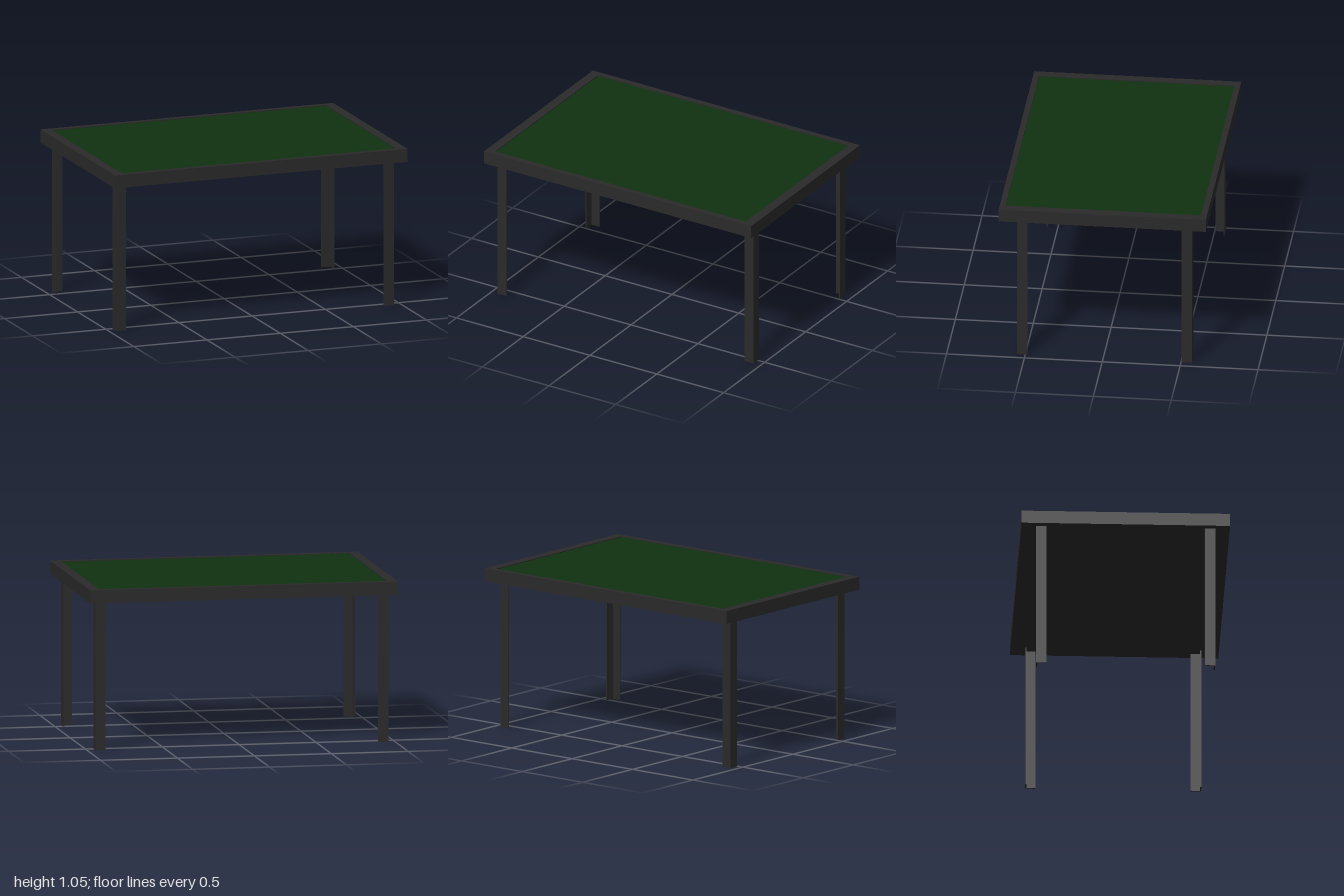
import * as THREE from 'three';

const dark = new THREE.MeshStandardMaterial({ color: 0x2a2a2a });
const green = new THREE.MeshStandardMaterial({ color: 0x103010 });

const HALF_X = 1, HALF_Z = 0.665;
const BOTTOM = 0.962, TOP = 1.047;

function rectangle(path, hx, hy) {
  path.moveTo(-hx, -hy);
  path.lineTo(hx, -hy);
  path.lineTo(hx, hy);
  path.lineTo(-hx, hy);
  path.closePath();
  return path;
}

function box(name, w, h, d, y, material) {
  const mesh = new THREE.Mesh(new THREE.BoxGeometry(w, h, d), material);
  mesh.name = name;
  mesh.position.y = y;
  return mesh;
}

// Angle-section leg with its outer corner at (x, z), flanges pointing inward
function angleLeg(name, x, z) {
  const width = 0.067, t = 0.008;
  const sx = -Math.sign(x), sz = -Math.sign(z);
  const points = [[0, 0], [width, 0], [width, t], [t, t], [t, width], [0, width]]
    .map(([a, b]) => new THREE.Vector2(x + sx * a, -(z + sz * b)));
  const geometry = new THREE.ExtrudeGeometry(new THREE.Shape(points), { depth: BOTTOM, bevelEnabled: false });
  geometry.rotateX(-Math.PI / 2);
  const leg = new THREE.Mesh(geometry, dark);
  leg.name = name;
  return leg;
}

export function createModel() {
  const table = new THREE.Group();
  table.name = 'table';

  // Rim around the playing surface
  const outline = rectangle(new THREE.Shape(), HALF_X, HALF_Z);
  outline.holes.push(rectangle(new THREE.Path(), 0.937, 0.627));
  const rimGeometry = new THREE.ExtrudeGeometry(outline, { depth: TOP - BOTTOM, bevelEnabled: false });
  rimGeometry.rotateX(-Math.PI / 2);
  const rim = new THREE.Mesh(rimGeometry, dark);
  rim.name = 'rim';
  rim.position.y = BOTTOM;
  table.add(rim);

  // Underside board and the slightly sunken cloth on it
  table.add(box('baseBoard', 1.874, 0.06, 1.254, BOTTOM + 0.03, dark));
  table.add(box('clothSurface', 1.874, 0.02, 1.254, TOP - 0.015, green));

  // Legs
  table.add(
    angleLeg('frontLeftLeg', 0.949, 0.553),
    angleLeg('frontRightLeg', -0.956, 0.572),
    angleLeg('backLeftLeg', 0.949, -0.571),
    angleLeg('backRightLeg', -0.956, -0.571),
  );

  return table;
}
